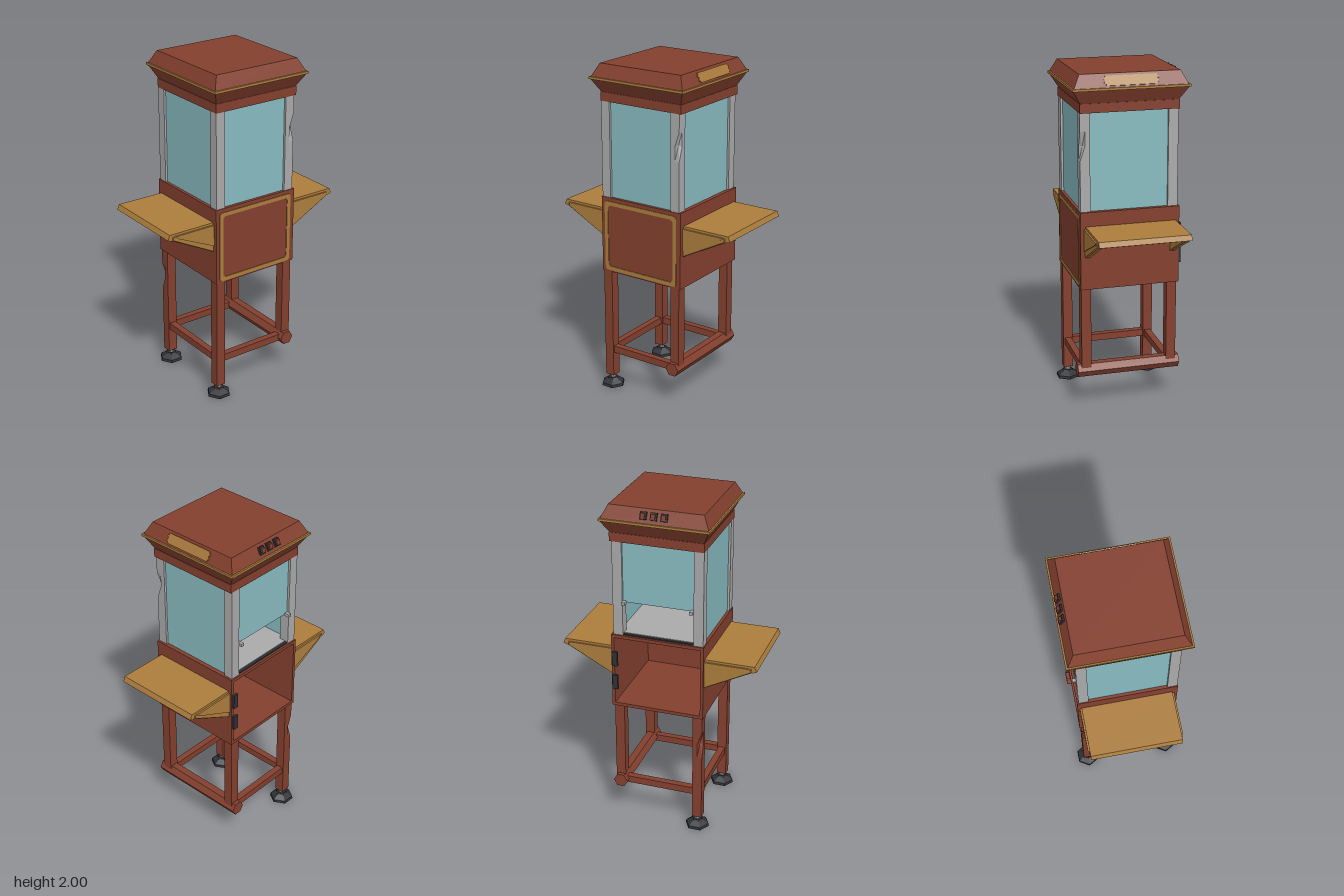
import * as THREE from 'three';

const mat = (name, color) => {
  const m = new THREE.MeshStandardMaterial({ color });
  m.name = name;
  return m;
};

export function createModel() {
  const root = new THREE.Group();
  root.name = 'displayCabinet';
  const red = mat('redWood', 0x84402f);
  const gold = mat('goldBrass', 0xac7d3d);
  const glass = mat('tealGlass', 0x88bbc0);
  const grey = mat('greyMetal', 0xaaaaaa);
  const black = mat('blackRubber', 0x303136);

  const flat = (g) => {
    const f = g.index ? g.toNonIndexed() : g;
    f.computeVertexNormals();
    return f;
  };
  const add = (name, geo, material, parent = root) => {
    const m = new THREE.Mesh(geo, material);
    m.name = name;
    parent.add(m);
    return m;
  };
  // Box given by its min and max on each axis
  const box = (name, material, x0, x1, y0, y1, z0, z1, parent) => {
    const m = add(name, new THREE.BoxGeometry(x1 - x0, y1 - y0, z1 - z0), material, parent);
    m.position.set((x0 + x1) / 2, (y0 + y1) / 2, (z0 + z1) / 2);
    return m;
  };
  // Four-sided tapered block from half sizes at bottom and top
  const frustum = (name, material, y0, w0, d0, y1, w1, d1) => {
    const g = new THREE.BoxGeometry(2, 1, 2);
    const p = g.attributes.position;
    for (let i = 0; i < p.count; i++) {
      const top = p.getY(i) > 0;
      p.setXYZ(i, p.getX(i) * (top ? w1 : w0), top ? y1 : y0, p.getZ(i) * (top ? d1 : d0));
    }
    return add(name, flat(g), material);
  };
  const rect = (C, x0, x1, y0, y1, c = 0) => {
    const s = new C();
    s.moveTo(x0 + c, y0);
    s.lineTo(x1 - c, y0);
    s.lineTo(x1, y0 + c);
    s.lineTo(x1, y1 - c);
    s.lineTo(x1 - c, y1);
    s.lineTo(x0 + c, y1);
    s.lineTo(x0, y1 - c);
    s.lineTo(x0, y0 + c);
    s.closePath();
    return s;
  };
  // Square post; an optional dent chips its outer corner around height dentY
  const post = (name, material, sx, sz, y0, y1, dentY) => {
    const w = 0.058, cx = sx * 0.257, cz = sz > 0 ? 0.246 : -0.234;
    if (dentY === undefined) {
      return box(name, material, cx - w / 2, cx + w / 2, y0, y1, cz - w / 2, cz + w / 2);
    }
    const g = new THREE.BoxGeometry(2, 4, 2, 2, 4, 2);
    const rows = [y0, dentY - 0.085, dentY, dentY + 0.085, y1];
    const p = g.attributes.position;
    for (let i = 0; i < p.count; i++) {
      const row = Math.round(p.getY(i)) + 2;
      let x = p.getX(i) * w / 2, z = p.getZ(i) * w / 2;
      if (row === 2 && x * sx > 0.01 && z * sz > 0.01) {
        x -= sx * 0.018;
        z -= sz * 0.018;
      }
      p.setXYZ(i, cx + x, rows[row], cz + z);
    }
    return add(name, flat(g), material);
  };

  // Lower cabinet: hollow, open on the -x side
  const shell = rect(THREE.Shape, -0.28, 0.275, 0.755, 1.215);
  shell.holes.push(rect(THREE.Path, -0.262, 0.257, 0.775, 1.195));
  const shellMesh = add('cabinetShell',
    new THREE.ExtrudeGeometry(shell, { depth: 0.565, bevelEnabled: false }), red);
  shellMesh.rotation.y = Math.PI / 2;
  shellMesh.position.x = -0.295;
  box('cabinetSide', red, 0.27, 0.29, 0.755, 1.215, -0.275, 0.28);
  for (const y of [0.87, 1.02]) {
    box('doorHinge', black, -0.309, -0.293, y, y + 0.09, -0.268, -0.235);
  }

  // Gold border on the +x side
  const border = rect(THREE.Shape, -0.257, 0.247, 0.765, 1.192, 0.012);
  border.holes.push(rect(THREE.Path, -0.234, 0.224, 0.789, 1.168, 0.014));
  const borderMesh = add('sideBorder',
    new THREE.ExtrudeGeometry(border, { depth: 0.004, bevelEnabled: false }), gold);
  borderMesh.rotation.y = Math.PI / 2;
  borderMesh.position.x = 0.29;

  // Corner posts, legs and feet
  for (const sx of [-1, 1]) {
    for (const sz of [-1, 1]) {
      post('cornerPost', grey, sx, sz, 1.21, 1.79, sx > 0 && sz < 0 ? 1.595 : undefined);
      post('leg', red, sx, sz, sz > 0 ? 0.07 : 0.23, 0.76, sx < 0 && sz > 0 ? 0.575 : undefined);
    }
    const foot = new THREE.Group();
    foot.name = 'foot';
    foot.position.set(sx * 0.257, 0, 0.243);
    root.add(foot);
    const tiers = [[0.073, 0.07, 0, 0.017], [0.07, 0.036, 0.017, 0.038], [0.036, 0.03, 0.038, 0.047]];
    for (const [r0, r1, y0, y1] of tiers) {
      const g = flat(new THREE.CylinderGeometry(r1, r0, y1 - y0, 6));
      add('footPad', g, black, foot).position.y = (y0 + y1) / 2;
    }
    add('footStem', flat(new THREE.CylinderGeometry(0.016, 0.016, 0.03, 8)), grey, foot).position.y = 0.06;
    box('sideStretcher', red, sx * 0.257 - 0.02, sx * 0.257 + 0.02, 0.222, 0.265, -0.21, 0.22);
  }
  box('frontStretcher', red, -0.23, 0.23, 0.222, 0.265, 0.226, 0.266);
  const roller = add('rearRoller', flat(new THREE.CylinderGeometry(0.044, 0.044, 0.617, 6)), red);
  roller.rotation.z = Math.PI / 2;
  roller.rotation.order = 'XZY';
  roller.position.set(0, 0.245, -0.23);
  roller.rotation.x = 0;

  // Glass case; the -x pane is raised
  box('frontGlass', glass, -0.23, 0.23, 1.21, 1.785, 0.25, 0.262);
  box('backGlass', glass, -0.23, 0.23, 1.21, 1.785, -0.25, -0.238);
  box('sideGlass', glass, 0.26, 0.272, 1.21, 1.785, -0.21, 0.222);
  box('raisedGlass', glass, -0.272, -0.26, 1.42, 1.785, -0.21, 0.222);
  box('caseFloor', grey, -0.265, 0.262, 1.212, 1.225, -0.24, 0.252);
  box('slideTrack', black, -0.282, -0.265, 1.213, 1.222, -0.205, 0.217);
  for (const z of [-0.195, 0.207]) {
    box('glassPeg', grey, -0.304, -0.265, 1.41, 1.428, z - 0.01, z + 0.01);
  }

  // Roof
  frustum('roofBand', red, 1.783, 0.288, 0.276, 1.836, 0.288, 0.276);
  frustum('roofFlare', red, 1.836, 0.285, 0.273, 1.914, 0.333, 0.313);
  frustum('roofTrim', gold, 1.912, 0.338, 0.32, 1.926, 0.338, 0.32);
  frustum('roofTop', red, 1.926, 0.328, 0.311, 2.0, 0.29, 0.275);

  // Gold plaque with stepped ends on the rear slope
  const plaque = new THREE.Group();
  plaque.name = 'rearPlaque';
  plaque.position.set(0, 1.961, -0.295);
  plaque.rotation.x = Math.atan(0.036 / 0.074);
  root.add(plaque);
  [0.146, 0.155, 0.15, 0.157, 0.148].forEach((w, i) => {
    const y = -0.029 + i * 0.0116;
    box('plaqueStrip', gold, -w, w, y, y + 0.0116, -0.005, 0.003, plaque);
  });

  // Three rocker switches on the -x slope
  for (const z of [-0.063, -0.003, 0.057]) {
    const s = new THREE.Group();
    s.name = 'rockerSwitch';
    s.position.set(-0.309, 1.964, z);
    s.rotation.z = -Math.atan(0.038 / 0.074);
    root.add(s);
    box('switchFrame', black, -0.012, 0.004, -0.022, 0.022, -0.019, 0.019, s);
    const key = box('switchKey', red, -0.022, 0, -0.014, 0.014, -0.012, 0.012, s);
    key.rotation.z = 0.25;
  }

  // Folding shelves front and back, each on two wedge brackets
  for (const side of [0, 1]) {
    const shelf = new THREE.Group();
    shelf.name = side ? 'rearShelf' : 'frontShelf';
    shelf.rotation.y = side * Math.PI;
    shelf.position.x = -0.006;
    root.add(shelf);
    // Side outlines are drawn as (distance from centre, height) and extruded across x
    const across = (name, pts, x0, x1, bevel = 0) => {
      const shape = new THREE.Shape(pts.map(([z, y]) => new THREE.Vector2(-z, y)));
      const g = new THREE.ExtrudeGeometry(shape, {
        depth: x1 - x0 - 2 * bevel, bevelEnabled: bevel > 0, bevelSegments: 1,
        bevelSize: bevel, bevelThickness: bevel, bevelOffset: -bevel,
      });
      const m = add(name, g, gold, shelf);
      m.rotation.y = Math.PI / 2;
      m.position.x = x0 + bevel;
    };
    across('shelfBoard', [[0.27, 1.132], [0.572, 1.132], [0.585, 1.102], [0.565, 1.094], [0.27, 1.105]], -0.266, 0.266);
    for (const s of [-1, 1]) {
      const c = s * 0.252;
      across('shelfBracket', [[0.27, 1.118], [0.555, 1.118], [0.555, 1.092], [0.27, 0.945]], c - 0.018, c + 0.018, 0.006);
      const e = s * 0.27;
      across('bracketRib', [[0.27, 1.118], [0.54, 1.118], [0.52, 1.1], [0.27, 0.985]], e - 0.006, e + 0.006);
    }
  }
  return root;
}
